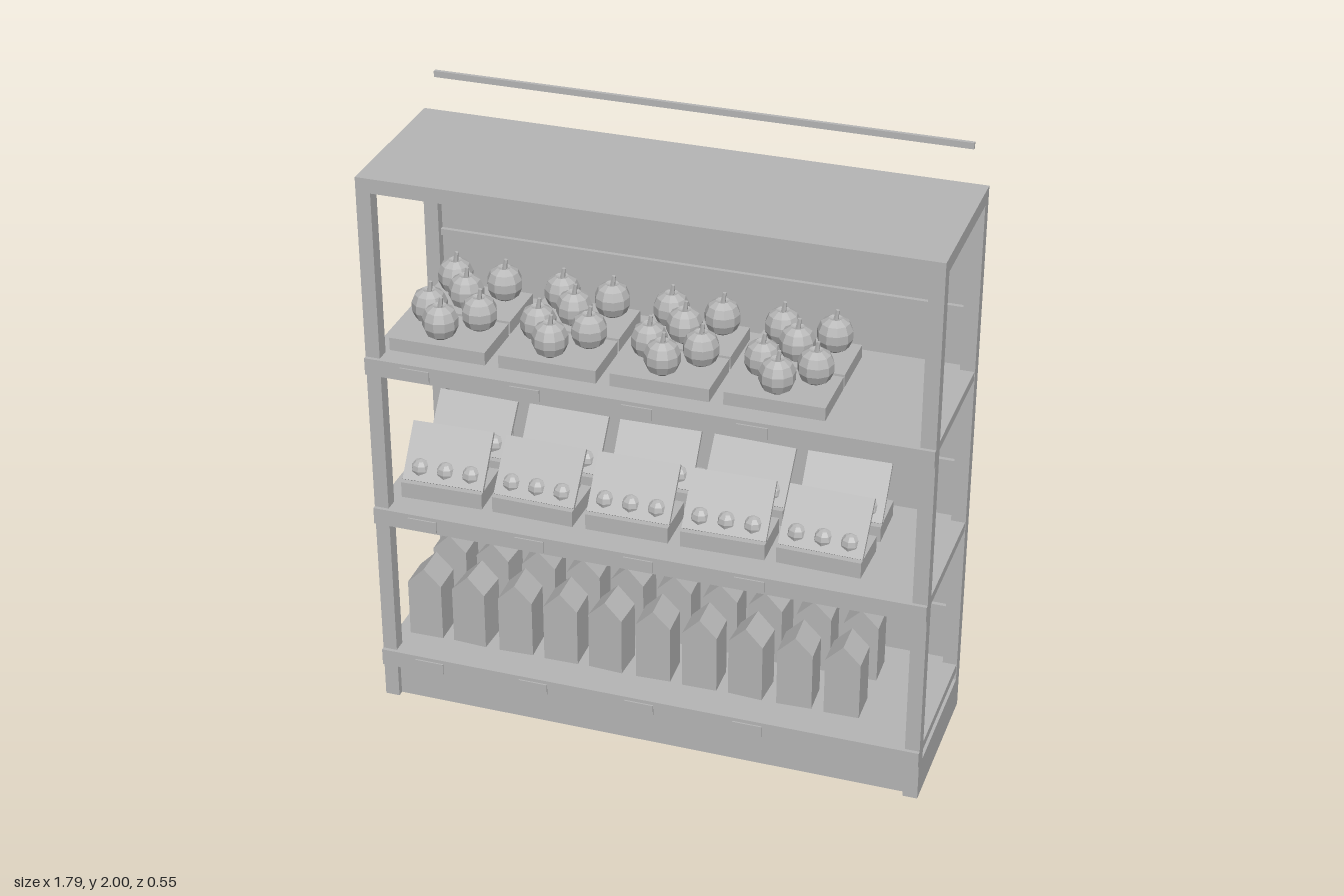
import * as THREE from 'three';

const grey = new THREE.MeshStandardMaterial({ color: 0xb6b6b6 });
grey.name = 'plain grey';

// Low-poly facets
function facet(geo) {
  const g = geo.index ? geo.toNonIndexed() : geo;
  g.computeVertexNormals();
  return g;
}

function add(parent, name, geo, x = 0, y = 0, z = 0) {
  const m = new THREE.Mesh(geo, grey);
  m.name = name;
  m.position.set(x, y, z);
  parent.add(m);
  return m;
}

// Box given by its minimum and maximum on every axis
function block(parent, name, [x0, x1], [y0, y1], [z0, z1]) {
  return add(parent, name, new THREE.BoxGeometry(x1 - x0, y1 - y0, z1 - z0),
    (x0 + x1) / 2, (y0 + y1) / 2, (z0 + z1) / 2);
}

function group(parent, name, x, y, z, yaw = 0) {
  const g = new THREE.Group();
  g.name = name;
  g.position.set(x, y, z);
  g.rotation.y = yaw;
  parent.add(g);
  return g;
}

const W = 0.896, IN = 0.849, BACK = -0.275, FRONT = 0.259;
const SHELVES = [0.18, 0.719, 1.257];

function buildCase(root) {
  const g = group(root, 'shelfCase', 0, 0, 0);
  block(g, 'topPanel', [-W, W], [1.813, 1.86], [BACK, FRONT]);
  block(g, 'backPanel', [-W, W], [0, 1.86], [BACK, -0.264]);
  block(g, 'plinth', [-W, W], [0, 0.122], [BACK, 0.238]);
  for (const s of [-1, 1]) {
    const xs = s < 0 ? [-W, -IN] : [IN, W];
    block(g, 'frontPost', xs, [0, 1.815], [0.214, FRONT]);
    block(g, 'backPost', xs, [0, 1.815], [BACK, -0.233]);
  }
  // Shelves with front lip, price tags and a back rail
  for (const y of SHELVES) {
    block(g, 'shelf', [-W + 0.002, W - 0.002], [y - 0.03, y], [-0.265, FRONT]);
    block(g, 'shelfLip', [-W, W], [y - 0.057, y], [FRONT - 0.008, 0.271]);
    for (let i = 0; i < 4; i++) {
      const x = -0.73 + i * 0.358;
      block(g, 'priceTag', [x - 0.048, x + 0.048], [y - 0.05, y - 0.012], [0.271, 0.276]);
    }
    block(g, 'backRail', [-IN, IN], [y + 0.184, y + 0.205], [-0.264, -0.25]);
  }
  // Upper rail above the case
  block(g, 'upperRail', [-IN, IN], [1.98, 2], [-0.262, -0.25]);
}

// Ribbed round fruit with dimpled ends
const fruitProfile = [[0, -0.045], [0.022, -0.055], [0.045, -0.04], [0.056, -0.014],
  [0.056, 0.014], [0.045, 0.04], [0.022, 0.055], [0, 0.046]].map(p => new THREE.Vector2(...p));
const fruitGeo = facet(new THREE.LatheGeometry(fruitProfile, 10));
const stemGeo = facet(new THREE.CylinderGeometry(0.006, 0.009, 0.04, 6));
const smallGeo = facet(new THREE.SphereGeometry(0.033, 8, 6));

function buildFruitTrays(root) {
  const spots = [[-0.008, 0.045], [0.085, -0.045], [-0.08, -0.045]];
  for (const z of [0.098, -0.115]) {
    for (let i = 0; i < 4; i++) {
      const g = group(root, 'fruitTray', -0.685 + i * 0.358, SHELVES[2], z);
      block(g, 'trayBase', [-0.157, 0.157], [0, 0.043], [-0.1, 0.1]);
      spots.forEach(([x, dz], k) => {
        add(g, 'fruit', fruitGeo, x, 0.098, dz).rotation.y = k * 0.4;
        add(g, 'stem', stemGeo, x + 0.003, 0.16, dz).rotation.z = -0.15;
      });
    }
  }
}

function buildDisplayBoxes(root) {
  const cardGeo = new THREE.BoxGeometry(0.27, 0.19, 0.012);
  for (const z of [0.093, -0.12]) {
    for (let i = 0; i < 5; i++) {
      const yaw = 0.03 * Math.sin(i * 2.3 + z * 20);
      const g = group(root, 'displayBox', -0.705 + i * 0.31, SHELVES[1], z, yaw);
      block(g, 'boxBase', [-0.135, 0.135], [0, 0.054], [-0.083, 0.083]);
      // Card leaning back from the front edge
      add(g, 'slopedCard', cardGeo, 0, 0.131, 0.007).rotation.x = -0.65;
      for (const x of [-0.085, 0, 0.085]) {
        for (const dz of [0.03, -0.04]) add(g, 'smallFruit', smallGeo, x, 0.086, dz);
      }
    }
  }
}

function buildCartons(root) {
  // Gabled carton, ridge running front to back
  const s = new THREE.Shape([[-0.057, 0], [0.057, 0], [0.057, 0.198], [0, 0.256], [-0.057, 0.198]]
    .map(p => new THREE.Vector2(...p)));
  const geo = new THREE.ExtrudeGeometry(s, { depth: 0.112, bevelEnabled: false });
  geo.translate(0, 0, -0.056);
  for (const z of [0.094, -0.121]) {
    for (let i = 0; i < 10; i++) {
      add(root, 'carton', geo, -0.79 + i * 0.156, SHELVES[0], z)
        .rotation.y = 0.06 * Math.sin(i * 2.1 + z * 30);
    }
  }
}

export function createModel() {
  const root = new THREE.Group();
  root.name = 'stockedShelf';
  buildCase(root);
  buildFruitTrays(root);
  buildDisplayBoxes(root);
  buildCartons(root);
  return root;
}
